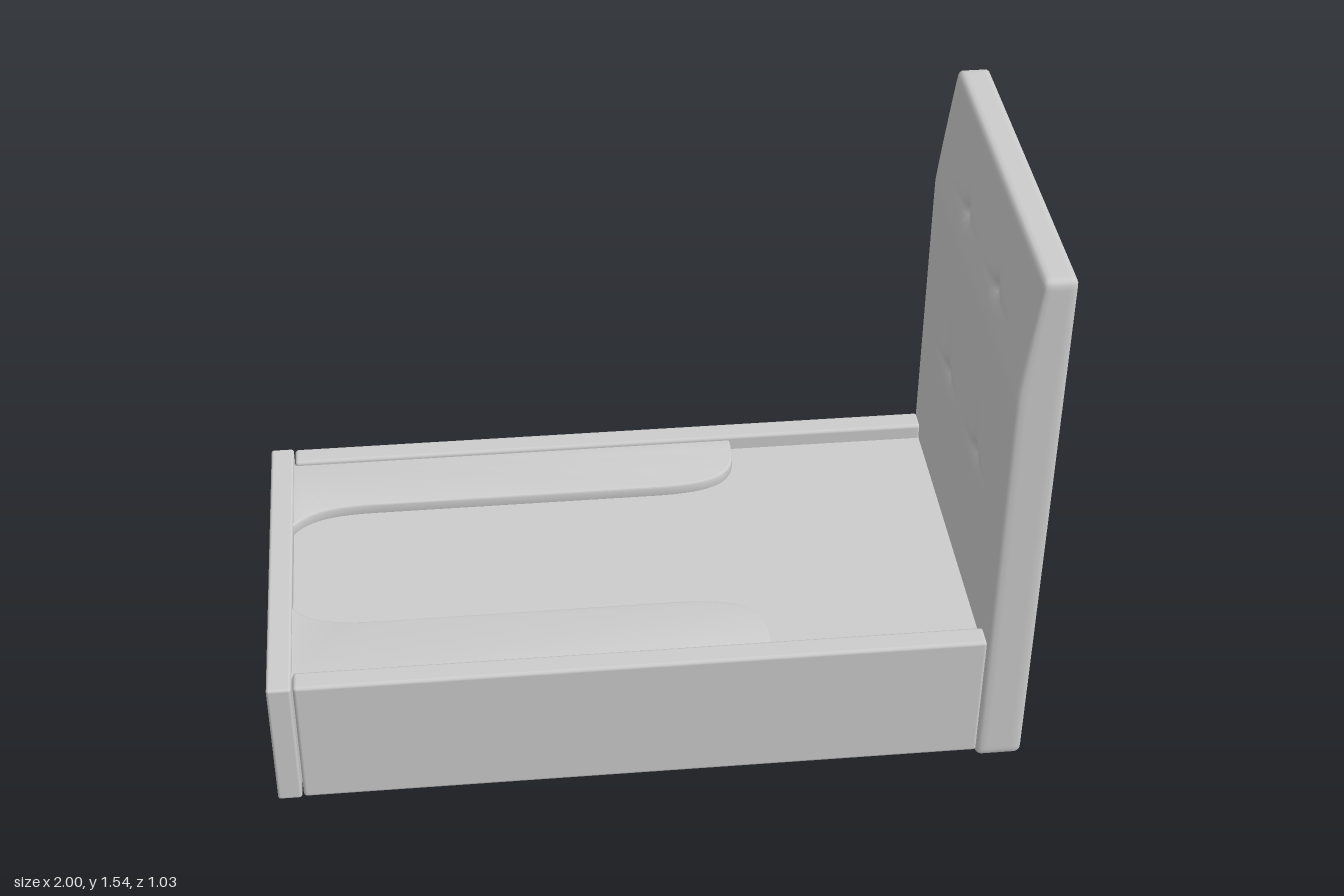
import * as THREE from 'three';
import { RoundedBoxGeometry } from 'three/addons/geometries/RoundedBoxGeometry.js';
import { mergeVertices, toCreasedNormals } from 'three/addons/utils/BufferGeometryUtils.js';

const material = new THREE.MeshStandardMaterial({ color: 0xcccccc });

function add(group, name, geometry) {
  const mesh = new THREE.Mesh(geometry, material);
  mesh.name = name;
  group.add(mesh);
  return mesh;
}

// Rounded box given by its limits on each axis
function block(x0, x1, y0, y1, z0, z1, r) {
  const g = new RoundedBoxGeometry(x1 - x0, y1 - y0, z1 - z0, 3, r);
  return g.translate((x0 + x1) / 2, (y0 + y1) / 2, (z0 + z1) / 2);
}

// Headboard size, and the tuft centres as [y, z]
const H = 1.54, W = 1.03, D = 0.125, ROWS = 120, COLS = 80;
const tufts = [];
for (const row of [61, 101]) {
  for (const col of [-14, 14]) tufts.push([row * H / ROWS, col * W / COLS]);
}

// How far the upholstery is pulled in at a point of the front face
function tuftDepth(y, z) {
  let depth = 0;
  for (const [ty, tz] of tufts) {
    const a = Math.abs(y - ty), b = Math.abs(z - tz);
    const pit = 0.018 * Math.exp(-(a * a + b * b) / 0.0008);
    const vertical = Math.max(0, 1 - a / 0.19) * Math.exp(-b / 0.012);
    const horizontal = Math.max(0, 1 - b / 0.16) * Math.exp(-a / 0.012);
    depth += pit + 0.008 * Math.max(vertical, horizontal);
  }
  return depth;
}

// Upholstered panel: rounded edges, front leaning back near the top, tufted
function headboardGeometry() {
  let g = new THREE.BoxGeometry(D, H, W, 8, ROWS, COLS);
  g.deleteAttribute('uv');
  g.deleteAttribute('normal');
  g = mergeVertices(g);
  const r = 0.018, p = g.attributes.position;
  const inner = new THREE.Vector3(D / 2 - r, H / 2 - r, W / 2 - r);
  const low = inner.clone().negate();
  const v = new THREE.Vector3(), core = new THREE.Vector3();
  for (let i = 0; i < p.count; i++) {
    v.fromBufferAttribute(p, i);
    core.copy(v).clamp(low, inner);
    v.sub(core).setLength(r).add(core);
    const y = v.y + H / 2;
    const front = 0.5 - v.x / D;
    const lean = 0.04 * Math.pow(Math.max(0, (y - 1.2) / 0.34), 1.1);
    const pull = front > 0.9 ? tuftDepth(y, v.z) : 0;
    p.setXYZ(i, v.x + lean * front + pull + 1 - D / 2, y, v.z);
  }
  g.computeVertexNormals();
  return g;
}

// Raised side pad of the deck, flaring towards the foot end
function padGeometry(s) {
  const shape = new THREE.Shape();
  shape.moveTo(-0.94, s * 0.45);
  shape.lineTo(-0.94, s * 0.165);
  shape.bezierCurveTo(-0.9, s * 0.23, -0.83, s * 0.247, -0.7, s * 0.247);
  shape.lineTo(0.08, s * 0.247);
  shape.bezierCurveTo(0.26, s * 0.247, 0.318, s * 0.29, 0.318, s * 0.4);
  shape.lineTo(0.318, s * 0.45);
  const g = new THREE.ExtrudeGeometry(shape, {
    depth: 0.025, curveSegments: 16, bevelSegments: 3,
    bevelSize: 0.006, bevelThickness: 0.006, bevelOffset: -0.006,
  });
  g.rotateX(Math.PI / 2).translate(0, 0.386, 0);
  return toCreasedNormals(g, 0.7);
}

export function createModel() {
  const bed = new THREE.Group();
  bed.name = 'bedFrame';

  add(bed, 'headboard', headboardGeometry());

  // Buttons sunk into the tufts
  for (const [y, z] of tufts) {
    const lean = 0.04 * Math.pow(Math.max(0, (y - 1.2) / 0.34), 1.1);
    const button = add(bed, 'button', new THREE.SphereGeometry(0.012, 12, 8));
    button.scale.x = 0.5;
    button.position.set(1 - D + lean + 0.022, y, z);
  }

  add(bed, 'footboard', block(-1, -0.936, 0.015, 0.405, -0.51, 0.51, 0.008));

  // Hollow underneath: a thin deck between the rails
  const deck = add(bed, 'deck', new THREE.BoxGeometry(1.83, 0.01, 0.9));
  deck.position.set(-0.03, 0.355, 0);

  for (const s of [1, -1]) {
    const z = [s * 0.442, s * 0.507].sort((a, b) => a - b);
    add(bed, s > 0 ? 'frontRail' : 'backRail', block(-0.932, 0.878, 0.015, 0.405, z[0], z[1], 0.01));
    add(bed, s > 0 ? 'frontPad' : 'backPad', padGeometry(s));
  }
  return bed;
}
